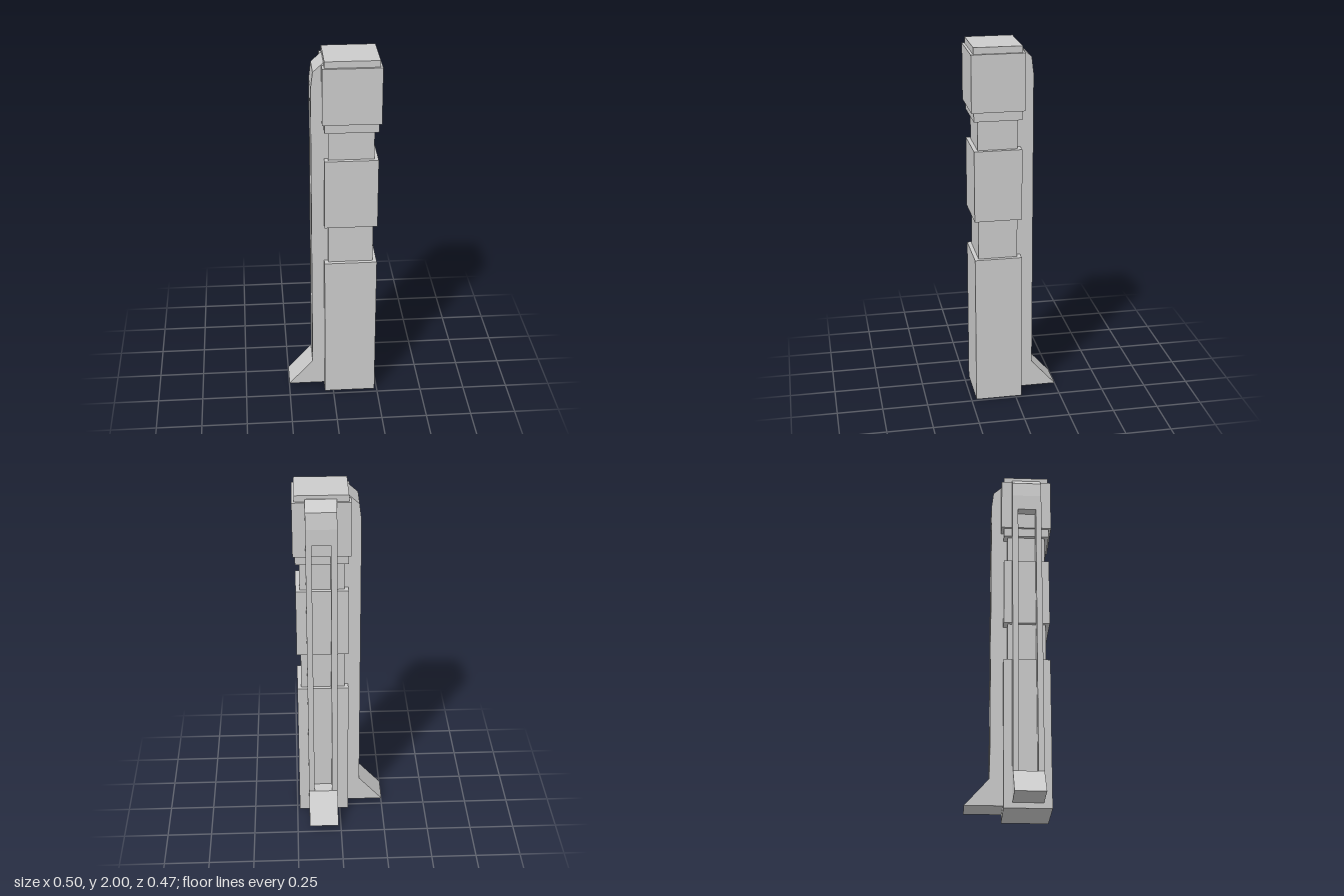
import * as THREE from 'three';

const mat = new THREE.MeshStandardMaterial({ color: 0xcccccc, flatShading: true });
const CX = 0.094, CZ = 0.094; // column axis
const WIDTH = 0.165, RAIL = 0.032, INNER = 0.02;

// Extrude a side profile of [outward, height] points, centred at offset z
function slab(name, points, width, z) {
  const shape = new THREE.Shape(points.map(([u, y]) => new THREE.Vector2(u, y)));
  const geo = new THREE.ExtrudeGeometry(shape, { depth: width, bevelEnabled: false });
  geo.translate(0, 0, z - width / 2);
  const mesh = new THREE.Mesh(geo, mat);
  mesh.name = name;
  return mesh;
}

// Buttress pointing along +x: two rails joined by a head and a flared foot
function createButtress(name) {
  const g = new THREE.Group();
  g.name = name;
  const foot = [[INNER, 0.03], [0.25, 0.03], [0.116, 0.18]];
  const head = [[0.116, 1.84], [0.105, 1.93], [0.05, 1.98], [INNER, 1.98]];
  const gap = WIDTH - 2 * RAIL;
  for (const s of [-1, 1]) {
    g.add(slab('rail', [...foot, ...head], RAIL, s * (WIDTH - RAIL) / 2));
  }
  g.add(slab('foot', [...foot, [INNER, 0.18]], gap, 0));
  g.add(slab('head', [[INNER, 1.75], [0.116, 1.75], ...head], gap, 0));
  return g;
}

export function createModel() {
  const model = new THREE.Group();
  model.name = 'tower';

  // Stacked column: name, bottom, top, width, depth
  const blocks = [
    ['base', 0, 0.84, 0.285, 0.256],
    ['lowerNeck', 0.84, 1.06, 0.242, 0.212],
    ['middleBlock', 1.06, 1.45, 0.285, 0.256],
    ['upperNeck', 1.45, 1.61, 0.242, 0.212],
    ['topBlock', 1.61, 2.0, 0.285, 0.256],
    ['topCollar', 1.66, 1.965, 0.309, 0.284],
  ];
  for (const [name, y0, y1, w, d] of blocks) {
    const mesh = new THREE.Mesh(new THREE.BoxGeometry(w, y1 - y0, d), mat);
    mesh.position.set(CX, (y0 + y1) / 2, CZ);
    mesh.name = name;
    model.add(mesh);
  }

  // Buttresses on the right side and on the back
  const right = createButtress('rightButtress');
  right.rotation.y = Math.PI;
  right.position.set(0, 0, 0.0945);
  const back = createButtress('backButtress');
  back.rotation.y = Math.PI / 2;
  back.position.set(0.098, 0, 0.012);
  model.add(right, back);
  return model;
}
